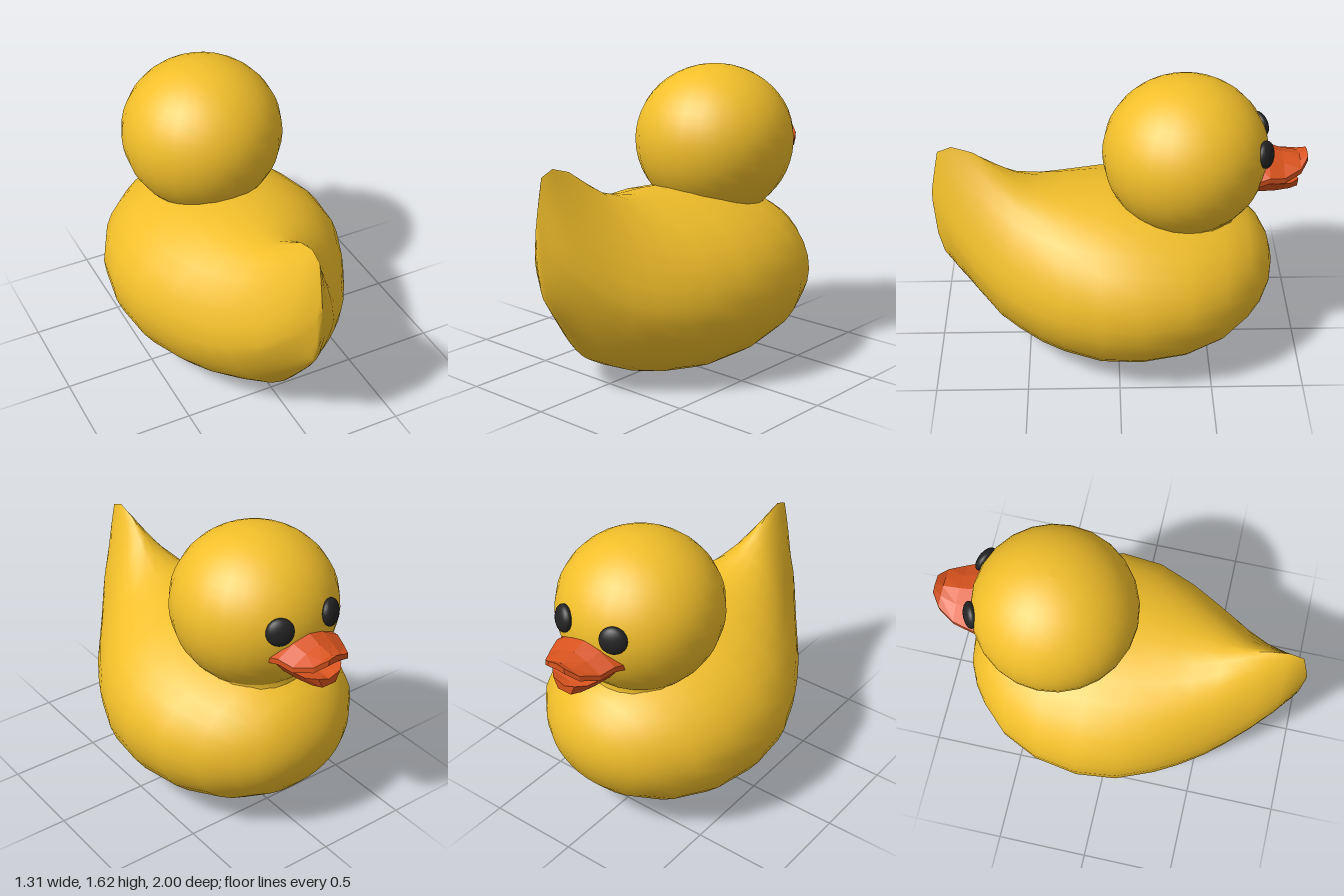
import * as THREE from 'three';
import { toCreasedNormals } from 'three/addons/utils/BufferGeometryUtils.js';

const paint = (color, flatShading = false) => new THREE.MeshStandardMaterial({ color, flatShading });

// Skins a list of closed rings (counter-clockwise in xy, ordered by rising z) and caps both ends.
function loft(rings) {
  const n = rings[0].length, pos = [], index = [];
  rings.forEach(r => r.forEach(p => pos.push(...p)));
  for (let i = 0; i < rings.length - 1; i++) {
    for (let j = 0; j < n; j++) {
      const k = (j + 1) % n, a = i * n + j, b = i * n + k;
      index.push(a, b, b + n, a, b + n, a + n);
    }
  }
  [0, rings.length - 1].forEach((i, end) => {
    const centre = pos.length / 3;
    pos.push(...[0, 1, 2].map(c => rings[i].reduce((s, p) => s + p[c], 0) / n));
    for (let j = 0; j < n; j++) {
      const a = i * n + j, b = i * n + (j + 1) % n;
      if (end) index.push(centre, a, b);
      else index.push(centre, b, a);
    }
  });
  const g = new THREE.BufferGeometry();
  g.setAttribute('position', new THREE.Float32BufferAttribute(pos, 3));
  g.setIndex(index);
  g.computeVertexNormals();
  return g;
}

// Body section: an ellipse that pinches into a sharp ridge as "pinch" goes to 1.
function bodyRing([z, bottom, top, width, mid, pinch], sides = 32) {
  return Array.from({ length: sides }, (_, i) => {
    const a = i / sides * Math.PI * 2, s = Math.sin(a), c = Math.cos(a);
    const p = pinch * (s > 0 ? 1 : 0.5);
    const x = THREE.MathUtils.lerp(Math.abs(c), 1 - Math.abs(s) ** 1.4, p);
    return [Math.sign(c) * x * width, mid + s * (s > 0 ? top - mid : mid - bottom), z];
  });
}

function upperBillRing([z, w, ridge, edge, thick]) {
  const shoulder = edge + (ridge - edge) * 0.65, roof = edge + (ridge - edge) * 0.4 - thick;
  return [[w, edge, z], [w * 0.5, shoulder, z], [0, ridge, z], [-w * 0.5, shoulder, z],
    [-w, edge, z], [-w, edge - thick, z], [0, roof, z], [w, edge - thick, z]];
}

function lowerBillRing([z, w, top, bottom]) {
  return [[w, top, z], [0, top - 0.025, z], [-w, top, z], [-w * 0.6, bottom, z], [w * 0.6, bottom, z]];
}

export function createModel() {
  const duck = new THREE.Group();
  duck.name = 'duck';
  const add = (name, geometry, material) => {
    const mesh = new THREE.Mesh(geometry, material);
    mesh.name = name;
    duck.add(mesh);
    return mesh;
  };
  const yellow = paint(0xf2bf2a), orange = paint(0xd9531e, true), black = paint(0x222222);

  // Body and upturned tail: z, bottom, top, half width, height of widest point, pinch
  const body = [
    [-0.84, 0.47, 0.57, 0.07, 0.52, 0],
    [-0.82, 0.39, 0.65, 0.18, 0.52, 0],
    [-0.77, 0.29, 0.74, 0.29, 0.51, 0],
    [-0.7, 0.21, 0.81, 0.385, 0.51, 0],
    [-0.56, 0.115, 0.88, 0.52, 0.5, 0],
    [-0.36, 0.04, 0.93, 0.615, 0.5, 0],
    [-0.12, 0.005, 0.975, 0.655, 0.5, 0],
    [0.1, 0, 0.995, 0.63, 0.5, 0],
    [0.3, 0.03, 1.005, 0.55, 0.5, 0.08],
    [0.42, 0.065, 1.025, 0.485, 0.5, 0.18],
    [0.55, 0.125, 1.065, 0.405, 0.52, 0.38],
    [0.65, 0.18, 1.13, 0.33, 0.55, 0.6],
    [0.77, 0.33, 1.21, 0.235, 0.62, 0.85],
    [0.88, 0.47, 1.245, 0.145, 0.74, 1],
    [0.955, 0.58, 1.215, 0.06, 0.83, 1],
    [0.985, 0.7, 1.06, 0.02, 0.88, 1],
    [1, 0.9, 0.97, 0.003, 0.94, 1],
  ];
  add('body', toCreasedNormals(loft(body.map(s => bodyRing(s))), 1), yellow);

  // Round head that runs down into a short flared neck
  const profile = [new THREE.Vector2(0.31, 0.78), new THREE.Vector2(0.275, 0.86)];
  for (let i = 0; i <= 18; i++) {
    const a = -0.8 + (Math.PI / 2 + 0.8) * i / 18, s = Math.sin(a);
    profile.push(new THREE.Vector2(i === 18 ? 0 : 0.44 * Math.cos(a), 1.205 + s * (s > 0 ? 0.41 : 0.44)));
  }
  add('head', new THREE.LatheGeometry(profile, 24), yellow).position.z = -0.355;

  // Flattened eyes lying on the head
  for (const side of [1, -1]) {
    const eye = add(side > 0 ? 'eyePlusX' : 'eyeMinusX', new THREE.SphereGeometry(0.073, 20, 14), black);
    eye.position.set(side * 0.16, 1.275, -0.762);
    eye.lookAt(side * 0.36, 1.36, -1.17);
    eye.scale.z = 0.5;
  }

  // Bill: z, half width, ridge, edge, thickness
  add('upperBill', loft([
    [-1, 0.05, 1.205, 1.195, 0.03],
    [-0.96, 0.11, 1.185, 1.155, 0.03],
    [-0.87, 0.165, 1.2, 1.13, 0.03],
    [-0.79, 0.19, 1.225, 1.145, 0.03],
    [-0.71, 0.205, 1.23, 1.125, 0.03],
  ].map(upperBillRing)), orange);

  // z, half width, top, bottom
  add('lowerBill', loft([
    [-0.955, 0.07, 1.07, 1.01],
    [-0.91, 0.115, 1.07, 1.01],
    [-0.83, 0.15, 1.085, 1.01],
    [-0.71, 0.19, 1.11, 1.02],
  ].map(lowerBillRing)), orange);

  return duck;
}
